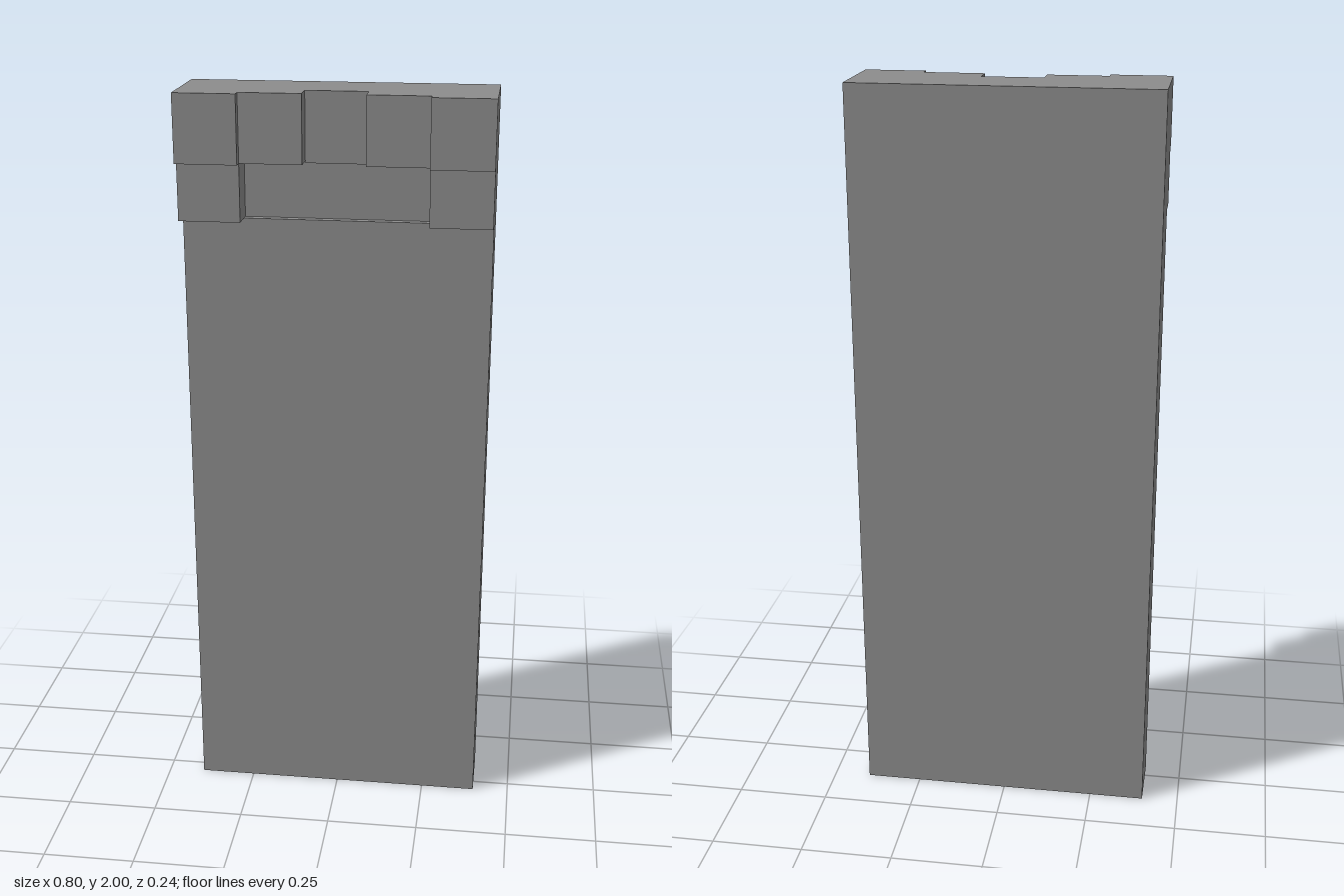
import * as THREE from 'three';

const BACK = -0.12;

export function createModel() {
  const model = new THREE.Group();
  const material = new THREE.MeshStandardMaterial({ color: 0x8c8c8c, flatShading: true });

  // Block given by its extents in x and y, reaching from the back plane to zFront
  const block = (name, x0, x1, y0, y1, zFront) => {
    const geometry = new THREE.BoxGeometry(x1 - x0, y1 - y0, zFront - BACK);
    geometry.translate((x0 + x1) / 2, (y0 + y1) / 2, (zFront + BACK) / 2);
    const mesh = new THREE.Mesh(geometry, material);
    mesh.name = name;
    model.add(mesh);
  };

  // Main wall slab, recessed band and the crenel wall above it
  block('wall', -0.4, 0.4, 0, 1.675, 0.04);
  block('recessedBand', -0.24, 0.24, 1.675, 1.825, 0.02);
  block('crenelWall', -0.08, 0.08, 1.82, 2, 0.04);

  // Stepped blocks, mirrored on both sides
  for (const [side, s] of [['left', 1], ['right', -1]]) {
    const pair = (name, a, b, y0, y1, z) =>
      block(side + name, Math.min(s * a, s * b), Math.max(s * a, s * b), y0, y1, z);
    pair('Corbel', 0.24, 0.4, 1.675, 1.825, 0.095);
    pair('OuterMerlon', 0.24, 0.4, 1.825, 2, 0.12);
    pair('InnerMerlon', 0.08, 0.24, 1.825, 2, 0.095);
  }
  return model;
}
